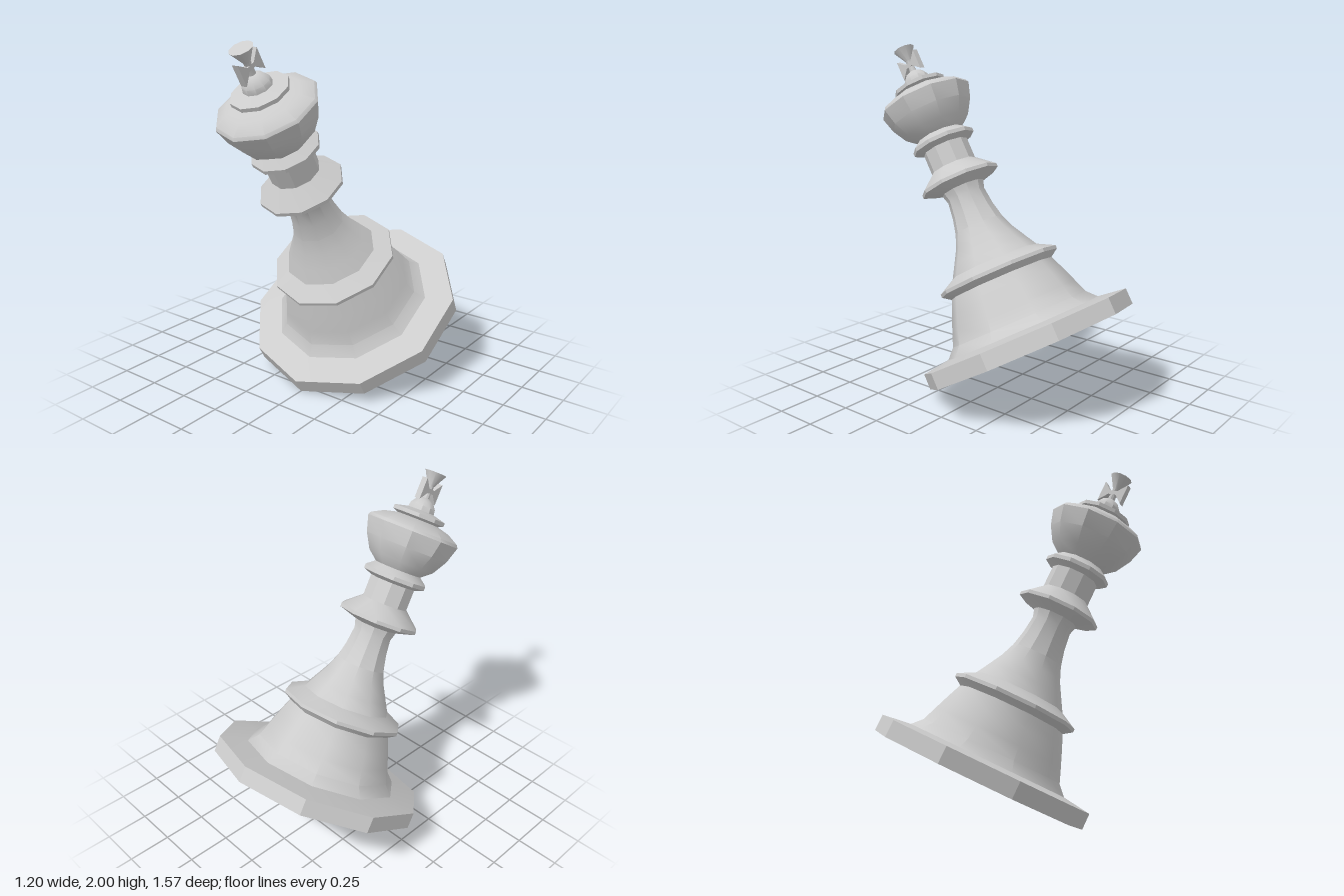
import * as THREE from 'three';
import { toCreasedNormals } from 'three/addons/utils/BufferGeometryUtils.js';

const SIDES = 10;
const CREASE = 0.6;
const material = new THREE.MeshStandardMaterial({ color: 0xcccccc });

function addMesh(parent, name, geometry) {
  const mesh = new THREE.Mesh(toCreasedNormals(geometry, CREASE), material);
  mesh.name = name;
  parent.add(mesh);
  return mesh;
}

// Ten-sided turned part from [radius, height] pairs, bottom to top
function turned(parent, name, profile, sides = SIDES) {
  const points = profile.map(([r, y]) => new THREE.Vector2(r, y));
  return addMesh(parent, name, new THREE.LatheGeometry(points, sides));
}

export function createModel() {
  const model = new THREE.Group();
  model.name = 'chessKing';

  // The whole piece leans forward by 30 degrees on the rim of its base
  const piece = new THREE.Group();
  piece.name = 'leaningPiece';
  piece.rotation.x = Math.PI / 6;
  piece.position.set(0, 0.315, -0.24);
  model.add(piece);

  // Base, body and neck
  turned(piece, 'base', [[0, 0], [0.63, 0], [0.63, 0.094], [0.467, 0.115]]);
  turned(piece, 'lowerBody', [[0.467, 0.115], [0.415, 0.17], [0.385, 0.25], [0.35, 0.34], [0.315, 0.425]]);
  turned(piece, 'bodyCollar', [[0.315, 0.425], [0.363, 0.458], [0.363, 0.478], [0.265, 0.53]]);
  turned(piece, 'stem', [[0.265, 0.53], [0.225, 0.6], [0.18, 0.68], [0.148, 0.76], [0.127, 0.85], [0.115, 0.95], [0.13, 1.0]]);
  turned(piece, 'stemCollar', [[0.13, 1.0], [0.238, 1.035], [0.238, 1.055], [0.137, 1.14]]);
  turned(piece, 'neck', [[0.137, 1.14], [0.137, 1.27]]);
  turned(piece, 'neckCollar', [[0.137, 1.265], [0.19, 1.285], [0.19, 1.307], [0.14, 1.345]]);

  // Head with its crown ring and dome
  turned(piece, 'head', [[0.14, 1.345], [0.2, 1.393], [0.25, 1.478], [0.278, 1.57], [0.268, 1.587], [0.2, 1.622], [0.125, 1.64]]);
  turned(piece, 'crownRing', [[0.125, 1.64], [0.157, 1.652], [0.157, 1.673], [0.08, 1.692]]);
  turned(piece, 'dome', [[0.08, 1.69], [0.075, 1.72], [0.052, 1.75], [0.02, 1.766], [0, 1.768]]);

  // Cross: round flared finial on a thin shaft, with two flat flared arms
  const cross = new THREE.Group();
  cross.name = 'cross';
  piece.add(cross);
  turned(cross, 'finial', [[0.022, 1.75], [0.018, 1.8], [0.02, 1.835], [0.064, 1.912], [0, 1.912]]);

  const armShape = new THREE.Shape();
  armShape.moveTo(0, -0.012);
  armShape.lineTo(0.025, -0.012);
  armShape.lineTo(0.078, -0.06);
  armShape.lineTo(0.078, 0.06);
  armShape.lineTo(0.025, 0.012);
  armShape.lineTo(0, 0.012);
  armShape.closePath();
  for (const side of [1, -1]) {
    const geometry = new THREE.ExtrudeGeometry(armShape, { depth: 0.036, bevelEnabled: false });
    geometry.translate(0, 0, -0.018);
    geometry.rotateY(-side * Math.PI / 2);
    geometry.translate(0, 1.807, 0);
    addMesh(cross, side > 0 ? 'frontArm' : 'backArm', geometry);
  }
  return model;
}
